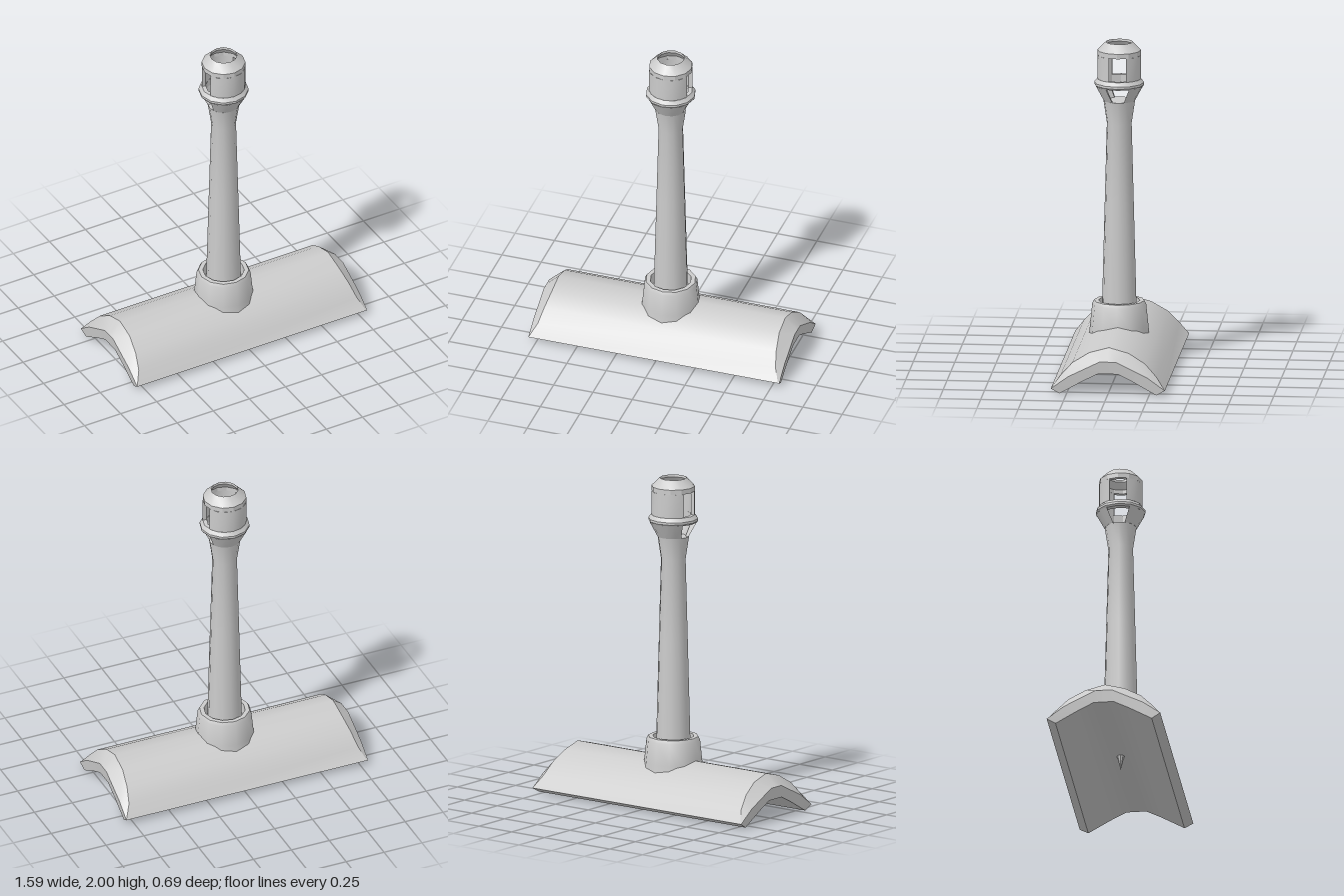
import * as THREE from 'three';
import { toCreasedNormals, mergeGeometries } from 'three/addons/utils/BufferGeometryUtils.js';

const material = new THREE.MeshStandardMaterial({ color: 0xcccccc, side: THREE.DoubleSide });

function addMesh(parent, name, geometry, crease = 0.6) {
  const mesh = new THREE.Mesh(toCreasedNormals(geometry, crease), material);
  mesh.name = name;
  parent.add(mesh);
  return mesh;
}

// Quad surface through rows of [x, y, z] points.
function surface(rows) {
  const n = rows[0].length;
  const index = [];
  for (let k = 0; k < rows.length - 1; k++) {
    for (let j = 0; j < n - 1; j++) {
      const a = k * n + j, b = a + n;
      index.push(a, b, b + 1, a, b + 1, a + 1);
    }
  }
  const g = new THREE.BufferGeometry();
  g.setAttribute('position', new THREE.Float32BufferAttribute(rows.flat(2), 3));
  g.setIndex(index);
  return g;
}

function lathe(points) {
  return new THREE.LatheGeometry(points.map(([r, y]) => new THREE.Vector2(r, y)), 12);
}

// Arched base: rows of [x, y, z] from the front edge over the top to the back edge.
function archGeometry() {
  const mirror = (half) => [...half, ...half.slice(0, -1).reverse().map(([x, y, z]) => [x, y, -z])];
  const outer = mirror([[0.79, 0.03, 0.345], [0.755, 0.105, 0.29], [0.737, 0.18, 0.22], [0.722, 0.24, 0.12], [0.72, 0.273, 0]]);
  const mid = mirror([[0.797, 0.03, 0.345], [0.797, 0.07, 0.29], [0.797, 0.106, 0.24], [0.797, 0.2, 0.05], [0.797, 0.2, 0]]);
  const inner = mirror([[0.79, 0, 0.292], [0.79, 0.035, 0.23], [0.79, 0.08, 0.15], [0.79, 0.125, 0.06], [0.79, 0.125, 0]]);
  const left = (row) => row.map(([x, y, z]) => [-x, y, z]);
  const shell = surface([left(inner), left(mid), left(outer), outer, mid, inner, left(inner)]);
  // Long lower edges
  const end = mid.length - 1;
  const front = surface([[left(mid)[0], mid[0]], [left(inner)[0], inner[0]]]);
  const back = surface([[mid[end], left(mid)[end]], [inner[end], left(inner)[end]]]);
  return mergeGeometries([shell, front, back]);
}

// Half of a hollow wall; levels are [outer radius, inner radius, y, half width of the side opening], top down.
function halfWall(levels) {
  const steps = 6;
  const point = (r, y, w, t) => {
    const gap = Math.asin(w / r);
    const a = gap + (Math.PI - 2 * gap) * t;
    return [r * Math.cos(a), y, r * Math.sin(a)];
  };
  const outerAt = (t) => levels.map(([ro, , y, w]) => point(ro, y, w, t));
  const innerAt = (t) => levels.map(([, ri, y, w]) => point(ri, y, w, t));
  const rows = [];
  for (let i = 0; i <= steps; i++) {
    const o = outerAt(i / steps);
    rows.push([...o, ...innerAt(i / steps).reverse(), o[0]]);
  }
  return mergeGeometries([
    surface(rows),
    surface([innerAt(0), outerAt(0)]),
    surface([outerAt(1), innerAt(1)]),
  ]);
}

function addWalls(parent, name, levels) {
  for (const turn of [0, Math.PI]) {
    addMesh(parent, name, halfWall(levels)).rotation.y = turn;
  }
}

export function createModel() {
  const model = new THREE.Group();
  model.name = 'archedStand';
  addMesh(model, 'archedBase', archGeometry(), 0.55);

  const post = new THREE.Group();
  post.name = 'post';
  post.position.set(-0.006, 0, 0.005);
  model.add(post);

  // Pointed tip under the base
  const tip = new THREE.ConeGeometry(0.028, 0.11, 8);
  tip.rotateX(Math.PI).translate(0, 0.09, 0);
  addMesh(post, 'lowerTip', tip);

  // Collar with a shallow recess around the stem
  addMesh(post, 'collar', lathe([
    [0.184, 0.18], [0.177, 0.25], [0.163, 0.385], [0.152, 0.405], [0.125, 0.405], [0.118, 0.34], [0, 0.34],
  ]), 0.7);

  // Tapered stem
  addMesh(post, 'stem', lathe([
    [0.105, 0.33], [0.103, 0.42], [0.088, 1.0], [0.075, 1.5], [0.096, 1.64], [0, 1.64],
  ]));

  // Flared neck with openings on both sides
  addWalls(post, 'flaredNeck', [[0.144, 0.11, 1.73, 0.07], [0.096, 0.075, 1.64, 0.035]]);

  // Ring between neck and head
  addMesh(post, 'ring', lathe([
    [0.108, 1.728], [0.144, 1.728], [0.151, 1.738], [0.151, 1.752], [0.133, 1.775], [0.108, 1.775], [0.108, 1.728],
  ]), 0.5);

  // Head with a window on both sides and an open cap
  addWalls(post, 'headWall', [[0.132, 0.108, 1.92, 0.052], [0.132, 0.108, 1.775, 0.052]]);
  addMesh(post, 'headCap', lathe([
    [0.108, 1.92], [0.132, 1.92], [0.132, 1.95], [0.082, 2.0], [0.08, 1.985], [0.108, 1.945], [0.108, 1.92],
  ]), 0.5);

  return model;
}
